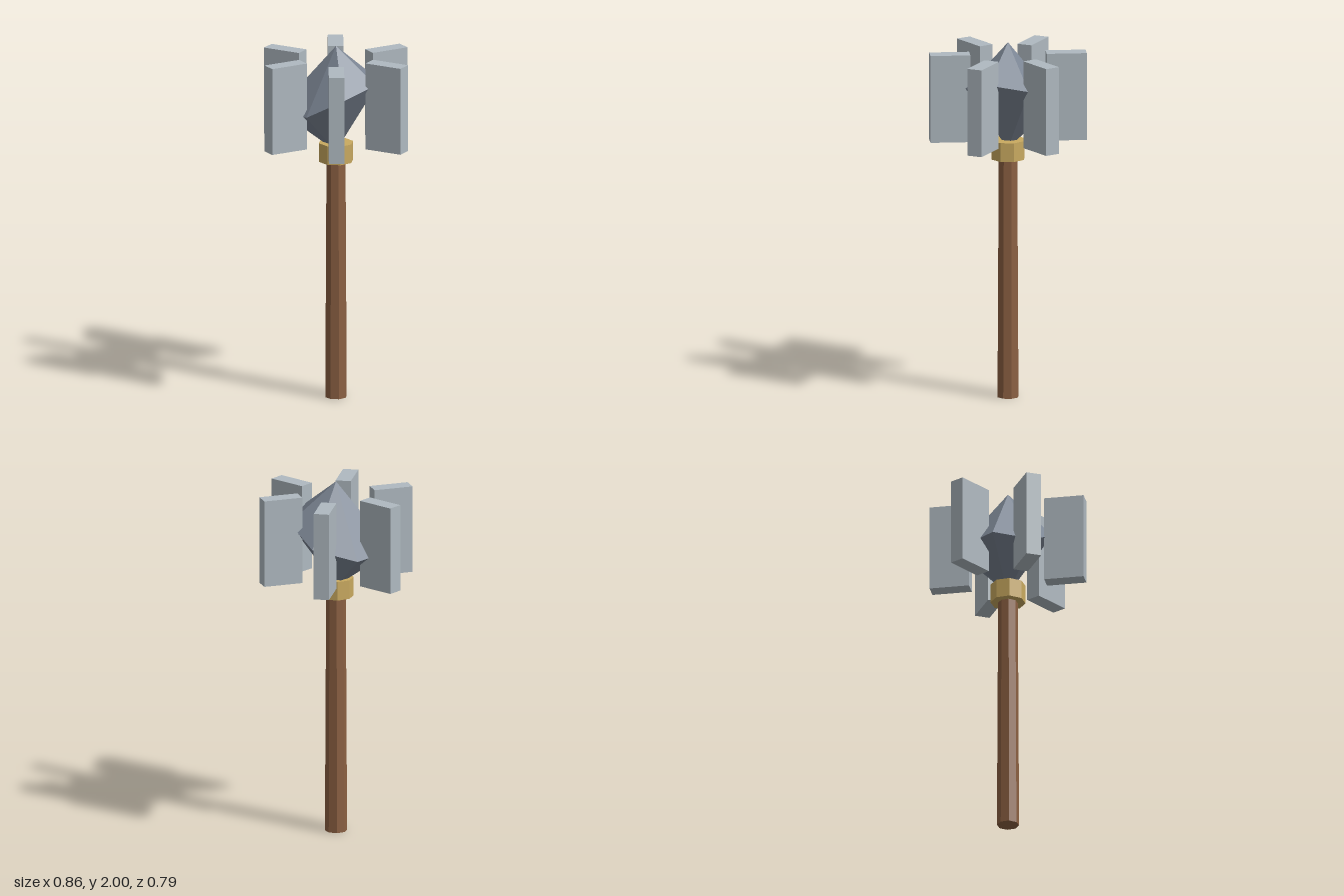
import * as THREE from 'three';

const flat = (name, color) => {
  const m = new THREE.MeshStandardMaterial({ color, flatShading: true });
  m.name = name;
  return m;
};

// Rough-cut seven-sided gem: an uneven girdle between two points
function gemGeometry(top, bottom, girdle) {
  const ring = girdle.map(([r, y], i) => {
    const a = (i / girdle.length) * Math.PI * 2;
    return [r * Math.cos(a), y, r * Math.sin(a)];
  });
  const pos = [];
  ring.forEach((p, i) => {
    const q = ring[(i + 1) % ring.length];
    pos.push(0, top, 0, ...q, ...p);
    pos.push(0, bottom, 0, ...p, ...q);
  });
  const g = new THREE.BufferGeometry();
  g.setAttribute('position', new THREE.Float32BufferAttribute(pos, 3));
  g.computeVertexNormals();
  return g;
}

export function createModel() {
  const model = new THREE.Group();
  model.name = 'mace';

  const wood = flat('wood', 0x8b6042);
  const brass = flat('brass', 0xc9aa60);
  const darkSteel = flat('dark steel', 0x7b8593);
  const paleSteel = flat('pale steel', 0xafb9c0);

  const add = (name, geometry, material, y = 0, parent = model) => {
    const mesh = new THREE.Mesh(geometry, material);
    mesh.name = name;
    mesh.position.y = y;
    parent.add(mesh);
    return mesh;
  };

  // Tapered octagonal shaft and its collar
  add('handle', new THREE.CylinderGeometry(0.054, 0.061, 1.4, 8), wood, 0.7);
  add('collar', new THREE.CylinderGeometry(0.097, 0.097, 0.106, 8), brass, 1.398);

  // Core: radius and height of each girdle corner, from +x towards +z
  add('core', gemGeometry(2, 1.4, [
    [0.25, 1.81], [0.244, 1.75], [0.241, 1.64], [0.322, 1.63],
    [0.295, 1.62], [0.277, 1.68], [0.26, 1.775],
  ]), darkSteel);

  // Six radial flanges
  const flangeGeometry = new THREE.BoxGeometry(0.22, 0.49, 0.085);
  const flanges = new THREE.Group();
  flanges.name = 'flanges';
  for (let i = 0; i < 6; i++) {
    const arm = new THREE.Group();
    arm.name = 'flangeArm';
    arm.rotation.y = (i * Math.PI) / 3;
    add('flange', flangeGeometry, paleSteel, 1.695, arm).position.x = 0.32;
    flanges.add(arm);
  }
  model.add(flanges);

  return model;
}
